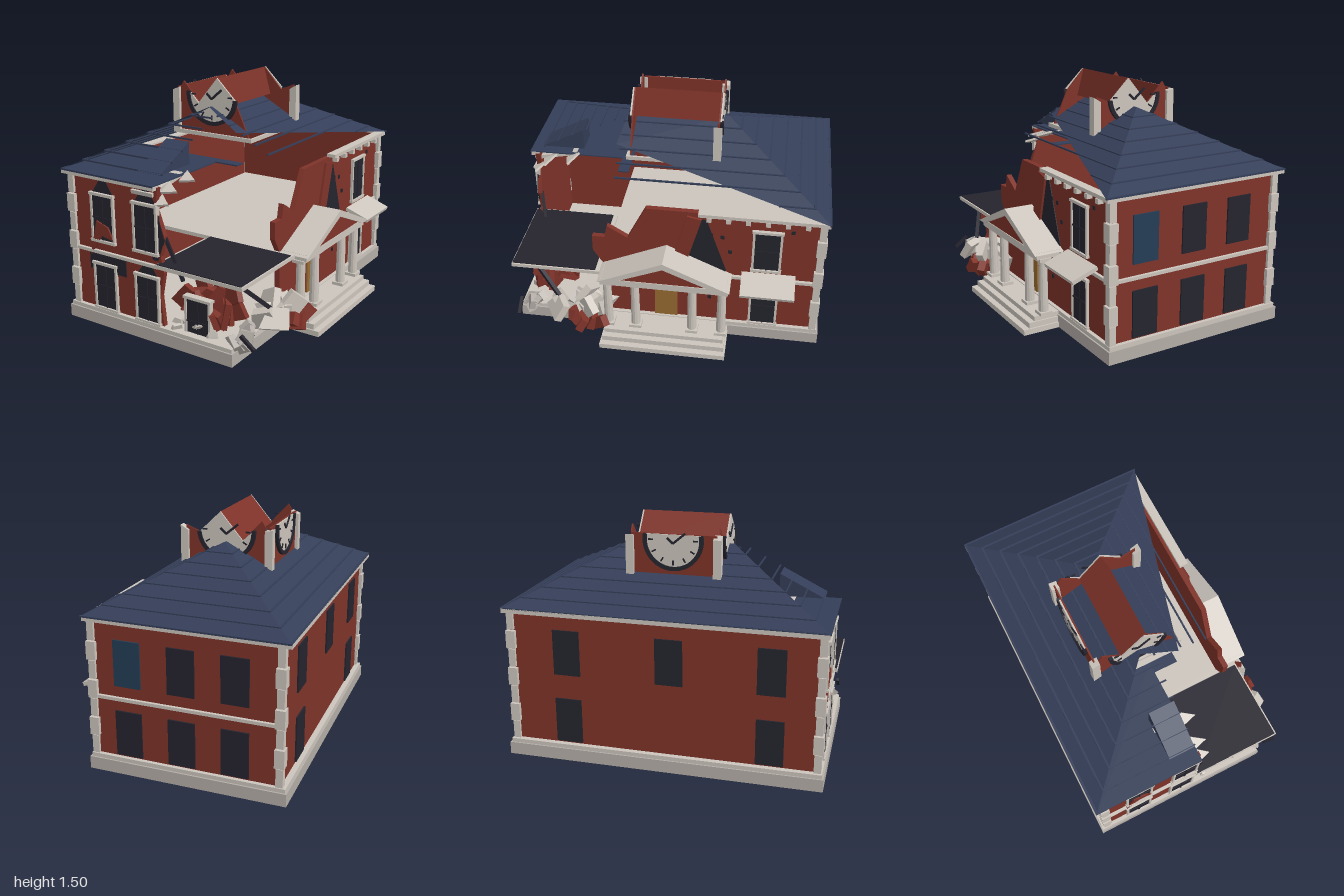
import * as THREE from 'three';

const mat = (color, side = THREE.FrontSide) => new THREE.MeshStandardMaterial({ color, side, flatShading: true });

export function createModel() {
  const root = new THREE.Group();
  const red = mat(0x7f3329), white = mat(0xccc5bd), grey = mat(0xb5aea8), dark = mat(0x25242e);
  const roofMat = mat(0x343e58, THREE.DoubleSide), blue = mat(0x243d55), wood = mat(0x9a6b33);
  let seed = 7;
  const rnd = (a, b) => { seed = (seed * 16807) % 2147483647; return a + (b - a) * seed / 2147483647; };

  function add(name, geo, m, parent = root) {
    const mesh = new THREE.Mesh(geo, m);
    mesh.name = name;
    parent.add(mesh);
    return mesh;
  }
  // Box from its limits
  function box(name, m, x0, x1, y0, y1, z0, z1) {
    const b = add(name, new THREE.BoxGeometry(x1 - x0, y1 - y0, z1 - z0), m);
    b.position.set((x0 + x1) / 2, (y0 + y1) / 2, (z0 + z1) / 2);
    return b;
  }
  const shapeOf = pts => new THREE.Shape(pts.map(p => new THREE.Vector2(p[0], p[1])));
  const slab = (shape, depth) => new THREE.ExtrudeGeometry(shape, { depth, bevelEnabled: false });
  // Upright outline in (x, y), front surface at z
  function frontSlab(name, m, pts, z, depth) {
    add(name, slab(shapeOf(pts), depth), m).position.z = z - depth;
  }
  // Upright outline in (z, y), outer surface at x
  function sideSlab(name, m, pts, x, depth) {
    add(name, slab(shapeOf(pts), depth).rotateY(-Math.PI / 2), m).position.x = x;
  }
  function bar(name, m, a, b, w) {
    const p = new THREE.Vector3(...a), q = new THREE.Vector3(...b);
    const s = add(name, new THREE.BoxGeometry(w, w, p.distanceTo(q)), m);
    s.position.copy(p).lerp(q, 0.5);
    s.lookAt(q);
  }

  // Plinth, steps and floors
  box('plinth', grey, -0.74, 0.51, 0, 0.08, -1, 1);
  box('plinthTop', white, -0.73, 0.5, 0.08, 0.105, -0.99, 0.99);
  [[0.75, 0.035], [0.71, 0.07], [0.67, 0.1]].forEach(([x, y], i) =>
    box('step', white, 0.5, x, y - 0.035, y, -0.41 + i * 0.01, 0.41 - i * 0.01));
  box('upperFloor', white, -0.66, 0.47, 0.475, 0.5, -0.94, 0.42);
  box('fallenFloor', white, -0.03, 0.58, 0.485, 0.508, 0.42, 1);
  box('fallenFloorTop', dark, -0.02, 0.57, 0.508, 0.513, 0.45, 0.995);

  // Walls, broken at the front right corner
  box('leftWall', red, -0.695, -0.665, 0.1, 0.97, -0.965, 0.965);
  box('backWall', red, -0.695, 0.475, 0.1, 0.97, -0.965, -0.935);
  frontSlab('frontWall', red, [[-0.695, 0.1], [0, 0.1], [-0.02, 0.3], [0.01, 0.45], [-0.01, 0.55],
    [0.02, 0.68], [-0.04, 0.85], [-0.02, 0.97], [-0.695, 0.97]], 0.965, 0.03);
  sideSlab('rightWall', red, [[-0.96, 0.1], [0.42, 0.1], [0.42, 0.5], [0.48, 0.6], [0.48, 0.71], [0.4, 0.71],
    [0.38, 0.8], [0.25, 0.72], [0.13, 0.96], [-0.96, 0.96]], 0.475, 0.035);

  // Trim: eaves, string courses, dentils and corner blocks
  box('frontEave', white, -0.75, -0.03, 0.955, 0.982, 0.94, 0.995);
  box('backEave', white, -0.75, 0.52, 0.955, 0.982, -0.995, -0.94);
  box('leftEave', white, -0.75, -0.67, 0.955, 0.982, -0.99, 0.99);
  box('rightEave', white, 0.46, 0.52, 0.96, 0.982, -0.99, -0.2);
  box('frontCourse', white, -0.71, -0.03, 0.475, 0.495, 0.94, 0.985);
  box('backCourse', white, -0.71, 0.49, 0.475, 0.495, -0.985, -0.94);
  box('rightCourse', white, 0.45, 0.495, 0.475, 0.495, -0.98, -0.4);
  for (let i = 0; i < 6; i++) box('dentil', white, 0.46, 0.51, 0.92, 0.95, -0.28 - i * 0.12, -0.25 - i * 0.12);
  for (const [cx, cz] of [[-0.69, 0.96], [-0.69, -0.96], [0.475, -0.96]])
    for (let i = 0; i < 7; i++) {
      const w = i % 2 ? 0.03 : 0.022, y = 0.105 + i * 0.122;
      box('cornerBlock', white, cx - w, cx + w, y, y + 0.115, cz - w, cz + w);
    }

  // Windows: built facing +z, then turned to their wall
  function windowAt(x, y, z, turn, framed, glass = dark) {
    const g = new THREE.Group();
    g.name = 'window';
    const piece = (n, m, w, h, d, px, py) => add(n, new THREE.BoxGeometry(w, h, d), m, g).position.set(px, py, 0);
    piece('pane', glass, 0.17, 0.29, 0.02, 0, 0);
    if (framed) {
      for (const s of [-1, 1]) {
        piece('jamb', white, 0.015, 0.3, 0.035, s * 0.085, 0);
        piece('sill', white, 0.195, 0.017, 0.045, 0, s * 0.15);
      }
      piece('glazingBar', dark, 0.01, 0.29, 0.03, 0, 0);
      piece('glazingBar', dark, 0.17, 0.01, 0.03, 0, 0);
    }
    g.position.set(x, y, z);
    g.rotation.y = turn;
    root.add(g);
  }
  for (const y of [0.26, 0.71]) {
    windowAt(-0.445, y, 0.965, 0, true);
    windowAt(-0.115, y, 0.965, 0, true);
    windowAt(0.475, y, -0.63, Math.PI / 2, true);
    for (const x of [-0.42, -0.09, 0.25])
      windowAt(x, y, -0.965, Math.PI, false, x > 0 && y > 0.5 ? blue : dark);
    for (const z of [-0.6, 0.05, 0.67])
      if (y > 0.5 || z !== 0.05) windowAt(-0.695, y, z, -Math.PI / 2, false);
  }
  // Holes and scorch marks round the openings
  for (const x of [-0.445, -0.115])
    for (const y of [0.405, 0.865])
      frontSlab('scorch', dark, [[x - 0.08, y], [x + 0.08, y], [x + 0.03, y + 0.08], [x - 0.02, y + 0.085]], 0.968, 0.01);
  frontSlab('brokenOpening', dark, [[-0.03, 0.52], [0.02, 0.66], [-0.03, 0.83], [-0.07, 0.83], [-0.07, 0.52]], 0.968, 0.01);
  frontSlab('windowBoard', red, [[-0.55, 0.46], [-0.45, 0.6], [-0.36, 0.58], [-0.4, 0.66], [-0.49, 0.69]], 0.985, 0.015);
  box('awning', dark, -0.57, -0.28, 0.36, 0.47, 0.965, 0.972);
  sideSlab('wallHole', dark, [[-0.1, 0.52], [-0.33, 0.38], [-0.38, 0.53], [-0.25, 0.91], [-0.2, 0.92]], 0.48, 0.012);
  sideSlab('loosePanel', red, [[-0.02, 0.53], [-0.12, 0.55], [-0.22, 0.92], [-0.13, 0.94]], 0.495, 0.015);
  for (const [z, y] of [[-0.28, 0.8], [-0.35, 0.79], [-0.4, 0.68], [-0.28, 0.29], [-0.49, 0.35], [-0.78, 0.87]])
    box('wallMark', dark, 0.46, 0.48, y - 0.012, y + 0.012, z - 0.012, z + 0.012);

  // Portico and balcony
  box('door', wood, 0.46, 0.485, 0.1, 0.32, -0.07, 0.08);
  for (const z of [-0.37, -0.18, 0.19, 0.37]) {
    add('column', new THREE.CylinderGeometry(0.027, 0.031, 0.36, 12), white).position.set(0.595, 0.28, z);
    box('columnBase', white, 0.555, 0.635, 0.1, 0.12, z - 0.04, z + 0.04);
    box('columnCap', white, 0.555, 0.635, 0.45, 0.47, z - 0.04, z + 0.04);
  }
  box('entablature', white, 0.47, 0.65, 0.465, 0.51, -0.4, 0.4);
  sideSlab('pedimentFace', red, [[-0.38, 0.51], [0.38, 0.51], [0, 0.665]], 0.645, 0.17);
  sideSlab('pedimentRoof', white, [[-0.42, 0.5], [-0.34, 0.5], [0, 0.645], [0.34, 0.5], [0.42, 0.5], [0, 0.69]], 0.67, 0.2);
  box('balcony', white, 0.47, 0.645, 0.48, 0.505, -0.82, -0.48).rotation.z = -0.35;

  // Hip roof, laid out in plan and raised by a slope rule
  const eave = 0.98, pitch = 0.53, ridge = -0.11, end = 0.32, stretch = (1 - end) / 0.64;
  const height = (x, z) => eave + pitch * Math.min(x + 0.75, 0.53 - x, (1 - Math.abs(z)) / stretch);
  function roofSlope(name, pts) {
    const geo = new THREE.ShapeGeometry(shapeOf(pts)), p = geo.attributes.position;
    for (let i = 0; i < p.count; i++) {
      const x = p.getX(i), z = p.getY(i);
      p.setXYZ(i, x, height(x, z), z);
    }
    // reverse the winding so that the slope faces up
    const ix = geo.index.array;
    for (let i = 0; i < ix.length; i += 3) [ix[i], ix[i + 1]] = [ix[i + 1], ix[i]];
    geo.computeVertexNormals();
    add(name, geo, roofMat);
  }
  roofSlope('leftRoof', [[-0.75, 1], [-0.75, -1], [ridge, -end], [ridge, end]]);
  roofSlope('backRoof', [[-0.75, -1], [0.53, -1], [ridge, -end]]);
  roofSlope('rightRoof', [[ridge, end], [0.13, 0.37], [0.53, -1], [ridge, -end]]);
  // Collapsed front: attic deck with one wedge of roof left standing
  box('atticDeck', roofMat, -0.74, -0.03, 0.98, 0.988, 0.3, 1);
  box('atticDeckCorner', roofMat, -0.03, 0.13, 0.98, 0.988, 0.3, 0.37);
  sideSlab('roofWedge', roofMat, [[0.63, 1.03], [0.91, 1.03], [0.63, 1.17]], -0.04, 0.17);
  // Roof seams, some left hanging where the roof is gone
  for (let k = 0; k < 7; k++) {
    const d = k * 0.092, y = eave + pitch * d;
    const x0 = -0.75 + d, x1 = 0.53 - d, z1 = 1 - d * stretch;
    const seam = (a, b, c, e) => box('roofSeam', roofMat, a, b, y - 0.003, y + 0.007, c, e);
    seam(x0, x0 + 0.012, -z1, z1);
    seam(x0, x1, -z1, -z1 + 0.012);
    seam(x0, Math.min(x1, -0.03), z1 - 0.008, z1);
    if (k) seam(x1 - 0.01, x1, -z1, k > 1 ? Math.min(z1, 0.35) : -0.68);
  }

  // Clock tower
  box('towerBaseFront', white, -0.41, 0.19, 1.12, 1.145, 0.285, 0.3);
  box('towerBaseBack', white, -0.41, 0.19, 1.12, 1.145, -0.3, -0.285);
  box('towerBaseRight', white, 0.175, 0.19, 1.12, 1.145, -0.3, 0.3);
  const jag = [[-0.36, 1.42], [-0.335, 1.46], [-0.215, 1.33], [-0.07, 1.5], [0.06, 1.36]];
  frontSlab('towerFront', red, [...jag, [0.16, 1.14], [-0.38, 1.14]], 0.28, 0.01);
  frontSlab('towerBack', red, [...jag, [0.16, 1.4], [0.16, 1.14], [-0.38, 1.14]], -0.27, 0.01);
  box('towerLeft', red, -0.39, -0.38, 1.12, 1.42, -0.27, 0.27);
  frontSlab('fallenTowerRoof', red, [[-0.22, 1.325], [-0.02, 1.32], [-0.07, 1.5]], 0.27, 0.545);
  for (const [x, z, a, b] of [[-0.385, 0.275, 1.4, 1.42], [-0.385, -0.275, 1.41, 1.4], [0.165, -0.275, 1.37, 1.4]])
    frontSlab('towerPillar', white, [[x - 0.025, 1.12], [x + 0.025, 1.12], [x + 0.025, b], [x - 0.025, a]], z + 0.025, 0.05);

  // Broken clock faces, drawn round the clock's centre
  function clock(name, top, from, to, x, z, turn) {
    const g = new THREE.Group();
    g.name = name;
    const arc = r => Array.from({ length: 25 }, (_, i) => {
      const a = from + (to - from) * i / 24;
      return [r * Math.cos(a), r * Math.sin(a)];
    });
    add('clockFace', slab(shapeOf([...arc(0.175), ...top]), 0.01), white, g);
    add('clockRim', slab(shapeOf([...arc(0.19), ...arc(0.165).reverse()]), 0.02), dark, g);
    for (let i = 0; i < 7; i++) {
      const a = Math.PI * (1 + i / 6);
      const t = add('hourMark', new THREE.BoxGeometry(0.03, 0.009, 0.008), dark, g);
      t.position.set(0.14 * Math.cos(a), 0.14 * Math.sin(a), 0.012);
      t.rotation.z = a;
    }
    for (const [a, l] of [[0.7, 0.1], [2.4, 0.05]]) {
      const h = add('clockHand', new THREE.BoxGeometry(l, 0.014, 0.008), dark, g);
      h.position.set(Math.cos(a) * l / 2, Math.sin(a) * l / 2 - 0.02, 0.013);
      h.rotation.z = a;
    }
    g.position.set(x, 1.385, z);
    g.rotation.y = turn;
    root.add(g);
  }
  const notch = [[0.04, 0.115], [-0.105, -0.055]];
  clock('frontClock', notch, 3.05, 6.2, -0.11, 0.28, 0);
  clock('backClock', notch.map(([x, y]) => [-x, y]).reverse(), 3.23, 6.35, -0.11, -0.28, Math.PI);
  clock('leftClock', [], 2.95, 6.47, -0.39, 0, -Math.PI / 2);

  // Torn eave splinters and loose beams
  for (const [x, y, z, l] of [[-0.03, 0.96, 0.72, 0.1], [-0.04, 0.93, 0.88, 0.1], [-0.04, 0.87, 0.95, 0.09]]) {
    const s = add('splinter', slab(shapeOf([[0, -0.03], [l, 0], [0, 0.07]]), 0.015).rotateX(-1.1), white);
    s.position.set(x, y, z);
  }
  box('eaveShard', white, -0.21, -0.05, 0.94, 0.965, 0.68, 0.98).rotation.x = 0.2;
  bar('beam', dark, [0, 0.68, 0.94], [0.1, 0.4, 0.9], 0.02);
  bar('beam', dark, [0.46, 0.48, 0.9], [0.58, 0.27, 0.7], 0.025);
  bar('beam', dark, [0.2, 0.48, 0.7], [0.31, 0.41, 0.85], 0.025);
  bar('beam', dark, [0.55, 0.2, 0.97], [0.64, 0.13, 0.97], 0.02);

  // Rubble: wall panels, stones and a leaning window frame
  function rubble(name, m, n, lo, hi, size, thick) {
    for (let i = 0; i < n; i++) {
      const w = rnd(0.6, 1) * size, h = rnd(0.5, 0.8) * size;
      const s = add(name, slab(shapeOf([[-w / 2, -h / 2], [w / 2, -h * 0.35], [w * 0.4, h / 2], [-w * 0.3, h * 0.4]]), thick), m);
      s.position.set(rnd(lo[0], hi[0]), rnd(lo[1], hi[1]), rnd(lo[2], hi[2]));
      s.rotation.set(rnd(-0.7, 0.7), rnd(-0.9, 0.9), rnd(-0.8, 0.8));
    }
  }
  rubble('wallPanel', red, 13, [0.02, 0.2, 0.58], [0.4, 0.25, 0.88], 0.25, 0.035);
  rubble('wallPanel', red, 6, [0.2, 0.33, 0.6], [0.4, 0.37, 0.88], 0.22, 0.035);
  rubble('brick', red, 5, [0.56, 0.1, 0.35], [0.67, 0.2, 0.6], 0.14, 0.05);
  rubble('stone', white, 11, [0.46, 0.14, 0.32], [0.62, 0.22, 0.7], 0.19, 0.05);
  rubble('stone', grey, 7, [0.47, 0.1, 0.6], [0.54, 0.2, 0.93], 0.13, 0.04);
  rubble('stoneChip', white, 10, [0.05, 0.11, 0.85], [0.35, 0.16, 0.95], 0.07, 0.02);
  windowAt(0.23, 0.18, 0.93, 0, true);
  return root;
}
